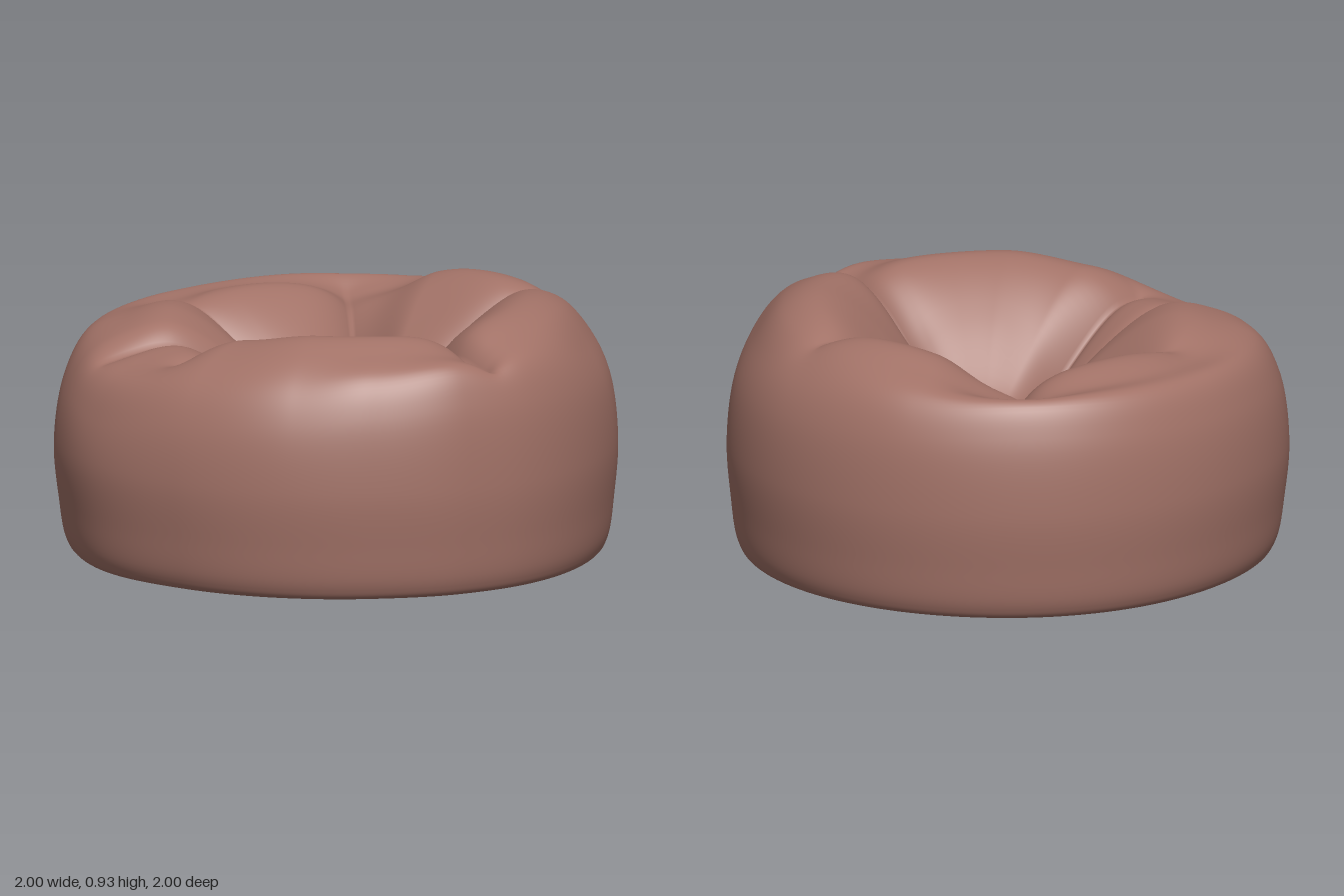
import * as THREE from 'three';

const SEGMENTS = 360, RINGS = 120;
const CX = 0.1; // the gathered centre sits slightly to one side

// padded ridge around the top: angle in degrees, ridge height, shoulder height, outline radius
const RIDGE = [
  [0, 0.94, 0.76, 1], [38, 0.92, 0.82, 1.02], [52, 0.9, 0.83, 1.015], [72, 0.9, 0.8, 1],
  [90, 0.9, 0.77, 1], [115, 0.87, 0.74, 1], [140, 0.81, 0.7, 1.02], [160, 0.86, 0.74, 1.01],
  [178, 0.87, 0.77, 1], [215, 0.85, 0.79, 0.985], [262, 0.84, 0.81, 1], [290, 0.91, 0.8, 1],
  [325, 0.92, 0.77, 1], [360, 0.94, 0.76, 1],
];

// folds running from the centre: end x, end z, depth, width, fade towards the end
const FOLDS = [
  [0.67, 0.62, 0.19, 0.06, 0.55],
  [-0.45, 0.56, 0.17, 0.065, 0.6],
  [-0.76, 0.42, 0.12, 0.06, 0.65],
  [-0.58, -0.26, 0.21, 0.11, 0.75],
  [-0.11, -0.78, 0.22, 0.1, 0.8],
  [0.66, -0.41, 0.18, 0.08, 0.8],
];

const { smoothstep: smooth, lerp, clamp, radToDeg } = THREE.MathUtils;

function ridgeAt(angle) {
  const deg = radToDeg(angle);
  const k = RIDGE.findIndex((p) => p[0] > deg);
  const [a, b] = [RIDGE[k - 1], RIDGE[k]];
  const t = smooth(deg, a[0], b[0]);
  return [1, 2, 3].map((c) => lerp(a[c], b[c], t));
}

// cross-section from the top centre, over the ridge, down the side, to the base centre
function profile(h, shoulder) {
  return new THREE.CatmullRomCurve3([
    [0, 0.42], [0.12, 0.55], [0.36, h - 0.14], [0.62, h], [0.78, h - 0.04],
    [0.9, shoulder], [0.97, shoulder - 0.14], [1, 0.4], [0.985, 0.2], [0.96, 0.05], [0.93, 0.008],
    [0.8, 0.02], [0.5, 0.035], [0.2, 0.06], [0, 0.09],
  ].map(([r, y]) => new THREE.Vector3(r, y, 0)));
}

// how far the folds pull the top down at a point
function foldDepth(x, z) {
  let sum = 0;
  for (const [ex, ez, depth, width, fade] of FOLDS) {
    const dx = ex - CX, dz = ez;
    const t = clamp(((x - CX) * dx + z * dz) / (dx * dx + dz * dz), 0, 1);
    const d = Math.hypot(x - CX - t * dx, z - t * dz);
    sum += depth * (1 - fade * t * t) * Math.exp(-d / width);
  }
  sum *= smooth(Math.hypot(x - CX, z), 0.02, 0.4);
  // soft hollow at the back
  return sum + 0.05 * Math.exp(-((x - 0.1) ** 2 + (z + 0.66) ** 2) / 0.03);
}

// crumpled cloth underneath
function baseWrinkle(a, r) {
  const folds = Math.abs(Math.sin(3 * a + 0.8 * Math.sin(6 * r) + 0.7 * Math.sin(2 * a)))
    + 0.6 * Math.abs(Math.sin(4 * a - 4 * r + Math.sin(3 * a)))
    + 0.3 * Math.abs(Math.sin(9 * r + 2 * Math.sin(2 * a)));
  return 0.045 * folds * smooth(r, 0.04, 0.3) * (1 - smooth(r, 0.65, 0.94));
}

function bagGeometry() {
  const positions = [], index = [];
  for (let i = 0; i < SEGMENTS; i++) {
    const a = (i / SEGMENTS) * Math.PI * 2;
    const [height, shoulder, radius] = ridgeAt(a);
    const curve = profile(height, shoulder);
    for (let j = 0; j <= RINGS; j++) {
      const v = j / RINGS;
      const p = curve.getPoint(v);
      const r = Math.max(p.x, 0.003);
      const x = CX * (1 - r) + r * radius * Math.cos(a), z = r * radius * Math.sin(a);
      let y = p.y;
      if (v < 0.5) {
        y -= foldDepth(x, z) * (1 - smooth(r, 0.82, 0.98));
        // small gathers around the centre
        y += 0.009 * Math.cos(13 * a) * smooth(r, 0, 0.03) * (1 - smooth(r, 0.04, 0.13));
      } else if (v > 0.7) {
        y += baseWrinkle(a, r);
        y += 0.012 * Math.cos(15 * a) * smooth(r, 0, 0.04) * (1 - smooth(r, 0.05, 0.16));
      }
      positions.push(x, Math.max(y, 0), z);
      if (j < RINGS) {
        const n = RINGS + 1, next = ((i + 1) % SEGMENTS) * n, here = i * n;
        index.push(here + j, next + j, here + j + 1, next + j, next + j + 1, here + j + 1);
      }
    }
  }
  const g = new THREE.BufferGeometry();
  g.setAttribute('position', new THREE.Float32BufferAttribute(positions, 3));
  g.setIndex(index);
  g.computeVertexNormals();
  return g;
}

export function createModel() {
  const group = new THREE.Group();
  group.name = 'beanBag';
  const fabric = new THREE.MeshStandardMaterial({ color: 0xa27267 });
  fabric.name = 'dusty rose fabric';
  const bag = new THREE.Mesh(bagGeometry(), fabric);
  bag.name = 'cushionBag';
  group.add(bag);
  return group;
}
